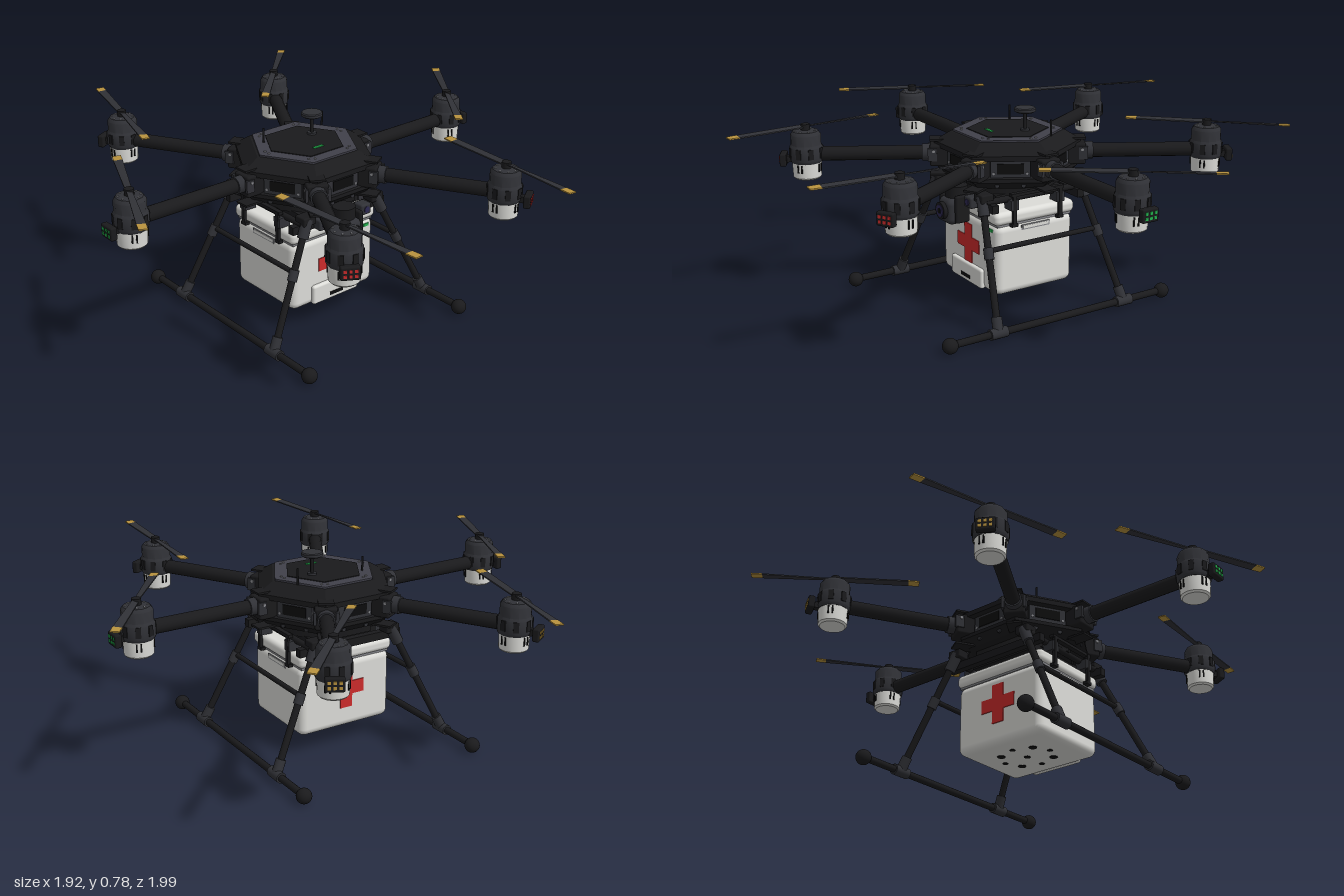
import * as THREE from 'three';
import { toCreasedNormals } from 'three/addons/utils/BufferGeometryUtils.js';
import { RoundedBoxGeometry } from 'three/addons/geometries/RoundedBoxGeometry.js';

const mat = (name, color) => {
  const m = new THREE.MeshStandardMaterial({ color });
  m.name = name;
  return m;
};

export function createModel() {
  const black = mat('matte black', 0x1a1a1c), dark = mat('dark grey', 0x303136), slate = mat('slate', 0x40404a);
  const white = mat('off white', 0xdcdcd8), red = mat('red', 0xcc2b2b), gold = mat('gold', 0xb8923e);
  const green = mat('green', 0x22b04c), lens = mat('lens', 0x2c2850), pit = mat('pit black', 0x0c0c0d);
  const grey = mat('grey', 0x85868a);

  const root = new THREE.Group();
  root.name = 'hexacopter';
  root.position.set(-0.03, 0, -0.01);

  const add = (parent, name, geo, material, x = 0, y = 0, z = 0) => {
    const m = new THREE.Mesh(geo, material);
    m.name = name;
    m.position.set(x, y, z);
    parent.add(m);
    return m;
  };
  const box = (w, h, d) => new THREE.BoxGeometry(w, h, d);
  const rbox = (w, h, d, r) => new RoundedBoxGeometry(w, h, d, 3, r);
  const cyl = (r, h, n = 20, r2 = r) => new THREE.CylinderGeometry(r, r2, h, n);
  const group = (parent, name) => {
    const g = new THREE.Group();
    g.name = name;
    parent.add(g);
    return g;
  };
  const lathe = (pts, n, crease = 0.6) => toCreasedNormals(
    new THREE.LatheGeometry(pts.map(p => new THREE.Vector2(...p)), n), crease);
  // Round bar between two points
  const bar = (parent, name, a, b, r, material = black) => {
    const p = new THREE.Vector3(...a), q = new THREE.Vector3(...b);
    const m = add(parent, name, cyl(r, p.distanceTo(q), 14), material);
    m.position.copy(p).add(q).multiplyScalar(0.5);
    m.quaternion.setFromUnitVectors(new THREE.Vector3(0, 1, 0), q.sub(p).normalize());
    return m;
  };

  // Hexagonal body
  const body = group(root, 'body');
  const shell = add(body, 'hexShell', lathe([[0, 0.495], [0.2, 0.495], [0.24, 0.505], [0.275, 0.535], [0.275, 0.55],
    [0.25, 0.56], [0.25, 0.615], [0.288, 0.622], [0.288, 0.642], [0.225, 0.68], [0, 0.68]], 6, 0.2), black);
  shell.rotation.y = Math.PI / 6;
  const hex = (name, r, h, y, m) => { add(body, name, cyl(r, h, 6), m, 0, y, 0).rotation.y = Math.PI / 6; };
  hex('topRing', 0.215, 0.008, 0.683, slate);
  hex('topHatch', 0.16, 0.008, 0.686, black);
  hex('bottomPlate', 0.21, 0.03, 0.485, black);
  add(body, 'statusLight', box(0.046, 0.004, 0.012), green, 0, 0.691, 0.085);
  for (let i = 0; i < 6; i++) {
    const side = group(body, 'sidePanel');
    side.rotation.y = i * Math.PI / 3;
    add(side, 'panel', box(0.15, 0.07, 0.02), dark, 0, 0.588, 0.219);
    add(side, 'panelInset', box(0.1, 0.04, 0.004), pit, 0, 0.588, 0.2305);
    for (const s of [-1, 1]) {
      add(side, 'panelScrew', cyl(0.005, 0.004, 8), grey, s * 0.063, 0.57, 0.229).rotation.x = Math.PI / 2;
      add(side, 'portRing', cyl(0.009, 0.006, 10), dark, s * 0.05, 0.522, 0.227).rotation.x = Math.PI / 2;
      add(side, 'topScrew', cyl(0.005, 0.004, 8), grey, s * 0.08, 0.688, 0.162);
    }
  }

  // Positioning mast and antennas
  add(body, 'mastBase', cyl(0.018, 0.012), dark, 0.07, 0.692, -0.035);
  add(body, 'mast', cyl(0.007, 0.09, 12), black, 0.07, 0.73, -0.035);
  add(body, 'mastDisc', lathe([[0, 0.762], [0.034, 0.762], [0.042, 0.767], [0.042, 0.777], [0.038, 0.781], [0, 0.781]], 28),
    dark, 0.07, 0, -0.035);
  for (const x of [-0.125, 0.168]) add(body, 'antenna', cyl(0.004, 0.11, 8), black, x, 0.69, -0.09);

  // Propeller blade: tapered and twisted along x
  const blade = (x0, x1) => {
    const g = box(x1 - x0, 0.005, 1, 8, 1, 1);
    g.translate((x0 + x1) / 2, 0, 0);
    const p = g.attributes.position;
    for (let i = 0; i < p.count; i++) {
      const x = p.getX(i), z = p.getZ(i), y = p.getY(i);
      const w = x < 0.11 ? 0.022 + x * 0.16 : 0.04 - (x - 0.11) * 0.04;
      const t = 0.3 - x * 0.8;
      p.setXYZ(i, x, y + z * w * Math.sin(t), z * w * Math.cos(t));
    }
    g.computeVertexNormals();
    return g;
  };

  // Six arms with motors; propeller headings are in degrees
  const headings = [53, 45, 75, 66, 94, 86];
  const lights = [green, gold, gold, green, red, red];
  const R = 0.785;
  headings.forEach((heading, i) => {
    const arm = group(root, 'arm');
    arm.rotation.y = i * Math.PI / 3;
    bar(arm, 'armTube', [0.22, 0.595, 0], [R - 0.03, 0.595, 0], 0.028);
    bar(arm, 'armSleeve', [0.29, 0.595, 0], [0.335, 0.595, 0], 0.034, dark);
    add(arm, 'hingeBlock', rbox(0.1, 0.085, 0.085, 0.008), black, 0.255, 0.59, 0);
    for (const y of [0.65, 0.51]) add(arm, 'hingePlate', box(0.1, 0.008, 0.06), black, 0.255, y, 0);
    for (const s of [-1, 1]) {
      add(arm, 'hingeLatch', box(0.035, 0.05, 0.012), dark, 0.295, 0.595, s * 0.042);
      add(arm, 'hingeBolt', cyl(0.006, 0.006, 8), grey, 0.29, 0.61, s * 0.048).rotation.x = Math.PI / 2;
    }

    const motor = group(arm, 'motor');
    motor.position.x = R;
    add(motor, 'motorPod', lathe([[0, 0.5], [0.048, 0.5], [0.055, 0.507], [0.058, 0.575], [0, 0.575]], 24), white);
    add(motor, 'motorHousing', lathe([[0, 0.565], [0.06, 0.565], [0.065, 0.575], [0.065, 0.625], [0.059, 0.635],
      [0.059, 0.675], [0.05, 0.688], [0.02, 0.692], [0, 0.692]], 12), dark);
    for (let k = 0; k < 8; k++) {
      const slot = group(motor, 'coolingSlots');
      slot.rotation.y = (k + 0.5) * Math.PI / 4;
      add(slot, 'lug', box(0.012, 0.04, 0.02), black, 0.06, 0.605, 0);
      add(slot, 'motorScrew', cyl(0.004, 0.003, 8), grey, 0.04, 0.69, 0);
      if (k % 2) for (const s of [-1, 1]) add(slot, 'podSlot', box(0.006, 0.032, 0.006), pit, 0.0555, 0.545, s * 0.008);
    }
    add(motor, 'hub', cyl(0.018, 0.03, 16), black, 0, 0.7, 0);

    // Signal lamp on the outer face
    add(motor, 'lampBracket', box(0.04, 0.025, 0.025), black, 0.065, 0.577, 0);
    add(motor, 'lampHousing', rbox(0.026, 0.05, 0.068, 0.006), black, 0.089, 0.577, 0);
    for (let k = 0; k < 6; k++)
      add(motor, 'lampDot', box(0.004, 0.011, 0.011), lights[i], 0.102, 0.568 + 0.018 * (k % 2), (Math.floor(k / 2) - 1) * 0.019);

    const prop = group(motor, 'propeller');
    prop.position.y = 0.706;
    prop.rotation.y = heading * Math.PI / 180 - arm.rotation.y;
    for (const t of [0, Math.PI]) {
      const half = group(prop, 'propellerHalf');
      half.rotation.y = t;
      add(half, 'blade', blade(0.005, 0.278), dark);
      add(half, 'bladeTip', blade(0.278, 0.32), gold);
    }
  });

  // Landing gear
  const gear = group(root, 'landingGear');
  for (const s of [-1, 1]) {
    bar(gear, 'skid', [s * 0.388, 0.032, -0.485], [s * 0.388, 0.032, 0.495], 0.014);
    for (const z of [-0.485, 0.495]) add(gear, 'skidBall', new THREE.SphereGeometry(0.03, 20, 14), black, s * 0.388, 0.031, z);
    for (const f of [-1, 1]) {
      const at = t => [s * (0.175 + 0.213 * t), 0.475 - 0.443 * t, f * (0.225 + 0.065 * t)];
      bar(gear, 'leg', at(0), at(1), 0.0135);
      bar(gear, 'legTopSocket', at(-0.03), at(0.12), 0.022, dark);
      bar(gear, 'legClamp', at(0.36), at(0.45), 0.019, dark);
      bar(gear, 'legFoot', at(0.88), at(0.99), 0.02, dark);
      bar(gear, 'skidSleeve', [s * 0.388, 0.032, f * 0.29 - 0.036], [s * 0.388, 0.032, f * 0.29 + 0.036], 0.021, dark);
      add(gear, 'legMount', rbox(0.06, 0.035, 0.055, 0.006), black, s * 0.17, 0.485, f * 0.215);
    }
    bar(gear, 'sideBrace', [s * 0.257, 0.305, -0.25], [s * 0.257, 0.305, 0.25], 0.01);

    // Payload rails and hangers
    bar(gear, 'payloadRail', [s * 0.19, 0.47, -0.22], [s * 0.19, 0.47, 0.22], 0.013);
    add(gear, 'hangerTop', box(0.02, 0.012, 0.24), black, s * 0.215, 0.49, 0.005);
    for (const z of [-0.1, 0.11]) {
      add(gear, 'hangerStrap', box(0.012, 0.13, 0.016), black, s * 0.22, 0.43, z);
      add(gear, 'hangerFoot', box(0.02, 0.012, 0.028), black, s * 0.216, 0.37, z);
      add(gear, 'railBlock', box(0.05, 0.04, 0.035), dark, s * 0.2, 0.45, z);
    }
  }
  for (const z of [-0.19, 0.2]) add(gear, 'crossRail', box(0.46, 0.032, 0.028), black, 0, 0.45, z);
  add(gear, 'mountDeck', box(0.3, 0.03, 0.3), black, 0, 0.46, 0);

  // Medical cargo box
  const cargo = group(root, 'cargoBox');
  cargo.position.z = 0.005;
  add(cargo, 'cargoBody', rbox(0.414, 0.285, 0.355, 0.03), white, 0, 0.2275, 0);
  add(cargo, 'lidSeam', box(0.4, 0.012, 0.34), grey, 0, 0.37, 0);
  add(cargo, 'cargoLid', rbox(0.424, 0.052, 0.365, 0.02), white, 0, 0.397, 0);
  add(cargo, 'frontLatch', rbox(0.23, 0.08, 0.024, 0.01), white, 0, 0.13, 0.181);
  add(cargo, 'latchHandle', box(0.068, 0.014, 0.004), pit, 0, 0.115, 0.193);
  add(cargo, 'greenTag', box(0.026, 0.012, 0.004), green, 0.165, 0.347, 0.178);
  for (const f of [-1, 1]) {
    add(cargo, 'crossUpright', box(0.054, 0.16, 0.006), red, 0, 0.25, f * 0.178);
    for (const s of [-1, 1]) add(cargo, 'crossArm', box(0.053, 0.054, 0.006), red, s * 0.0535, 0.25, f * 0.178);
    add(cargo, 'gripRecess', box(0.004, 0.02, 0.13), grey, f * 0.207, 0.35, 0);
    add(cargo, 'grip', box(0.006, 0.012, 0.118), white, f * 0.208, 0.351, 0);
  }
  for (let k = 0; k < 8; k++) {
    const a = k * Math.PI / 4;
    add(cargo, 'bottomHole', cyl(k % 2 ? 0.016 : 0.011, 0.004, 16), pit, 0.11 * Math.cos(a), 0.085, 0.09 * Math.sin(a));
  }
  add(cargo, 'bottomHole', cyl(0.013, 0.004, 16), pit, 0, 0.085, 0);

  // Gimbal camera
  const camera = group(root, 'gimbalCamera');
  add(camera, 'gimbalMount', cyl(0.045, 0.045, 20), black, 0, 0.475, 0.235);
  add(camera, 'cameraBody', rbox(0.095, 0.105, 0.09, 0.025), dark, 0, 0.4, 0.25);
  for (const s of [-1, 1]) add(camera, 'gimbalArm', rbox(0.02, 0.11, 0.06, 0.008), black, s * 0.058, 0.415, 0.245);
  add(camera, 'lensBarrel', cyl(0.034, 0.03, 24), black, 0, 0.403, 0.295).rotation.x = Math.PI / 2;
  add(camera, 'lensGlass', cyl(0.024, 0.006, 24), lens, 0, 0.403, 0.3095).rotation.x = Math.PI / 2;
  add(camera, 'lensPupil', cyl(0.011, 0.004, 16), pit, 0, 0.403, 0.3125).rotation.x = Math.PI / 2;
  for (const s of [-1, 1]) {
    add(camera, 'sideSensor', rbox(0.05, 0.045, 0.05, 0.008), dark, s * 0.105, 0.455, 0.225);
    add(camera, 'sideSensorLens', cyl(0.013, 0.006, 16), lens, s * 0.105, 0.455, 0.25).rotation.x = Math.PI / 2;
  }

  const model = new THREE.Group();
  model.name = 'deliveryDrone';
  model.add(root);
  return model;
}
